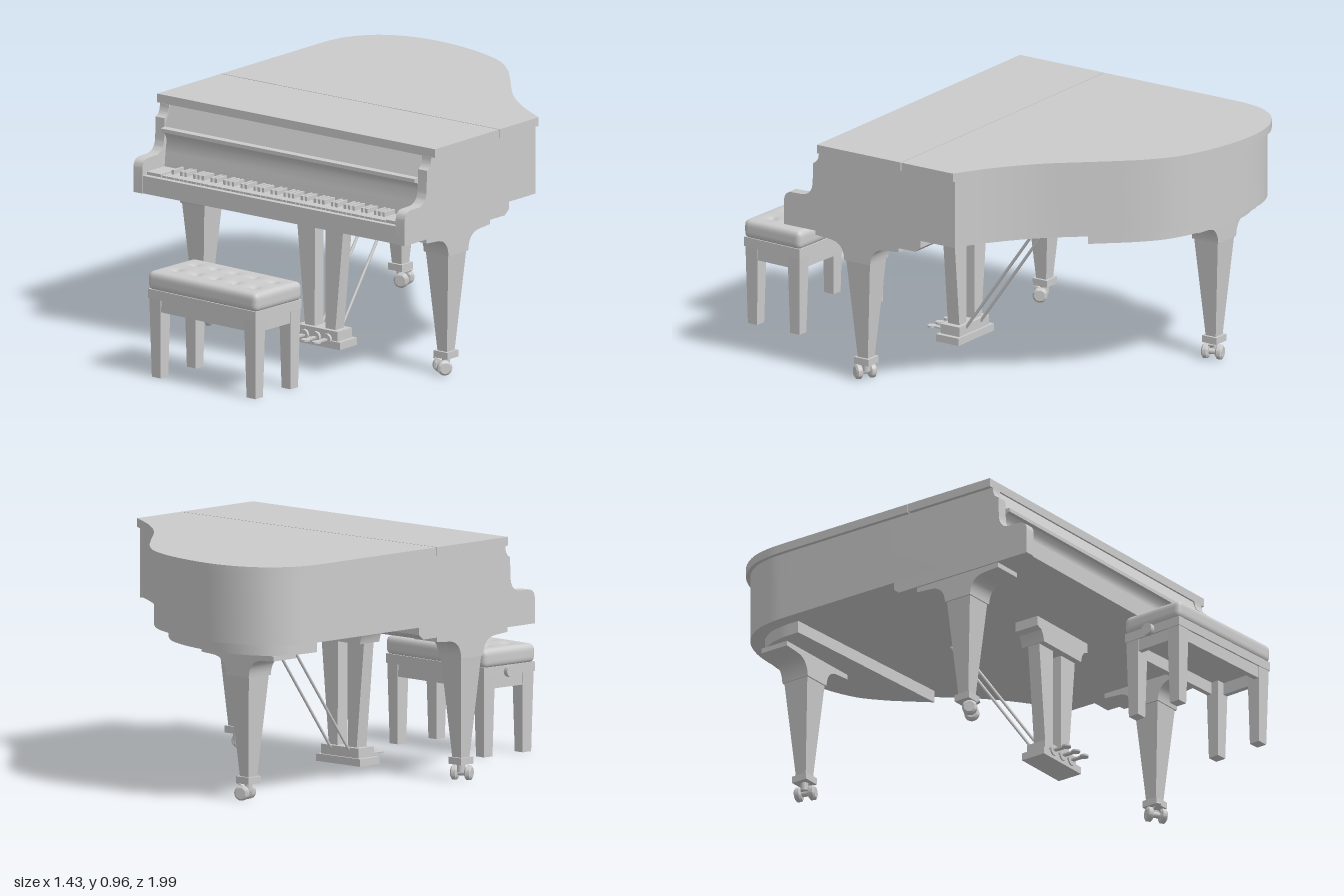
import * as THREE from 'three';
import { mergeGeometries, mergeVertices, toCreasedNormals } from 'three/addons/utils/BufferGeometryUtils.js';

const grey = new THREE.MeshStandardMaterial({ color: 0xcccccc });

function add(parent, name, geometry, x = 0, y = 0, z = 0) {
  const mesh = new THREE.Mesh(geometry, grey);
  mesh.name = name;
  mesh.position.set(x, y, z);
  parent.add(mesh);
  return mesh;
}

function group(parent, name, x = 0, y = 0, z = 0, yaw = 0) {
  const g = new THREE.Group();
  g.name = name;
  g.position.set(x, y, z);
  g.rotation.y = yaw;
  if (parent) parent.add(g);
  return g;
}

const box = (w, h, d) => new THREE.BoxGeometry(w, h, d);
const polygon = (pts) => new THREE.Shape(pts.map(([x, y]) => new THREE.Vector2(x, y)));

// Front-view profile (x, y), thickness centred on z
function frontExtrude(shape, depth) {
  const g = new THREE.ExtrudeGeometry(shape, { depth, bevelEnabled: false, curveSegments: 10 });
  return toCreasedNormals(g.translate(0, 0, -depth / 2), 0.6);
}

// Side-view profile (z, y), thickness centred on x
const sideExtrude = (shape, width) => frontExtrude(shape, width).rotateY(-Math.PI / 2);

// Plan-view outline (x, z) raised from y0 to y1
function planExtrude(pts, y0, y1) {
  const shape = polygon(pts.map(([x, z]) => [x, -z]));
  const g = new THREE.ExtrudeGeometry(shape, { depth: y1 - y0, bevelEnabled: false });
  return toCreasedNormals(g.rotateX(-Math.PI / 2).translate(0, y0, 0), 0.5);
}

// Square post with a different half-width at top and bottom
function taperedPost(top, bottom, h) {
  return new THREE.CylinderGeometry(top * Math.SQRT2, bottom * Math.SQRT2, h, 4)
    .rotateY(Math.PI / 4).toNonIndexed();
}
function flatPost(top, bottom, h) {
  const g = taperedPost(top, bottom, h);
  g.computeVertexNormals();
  return g;
}

// Bent side and tail of the case, from the treble corner round to the spine
const bend = new THREE.CatmullRomCurve3([
  [0.707, -0.297], [0.56, -0.385], [0.411, -0.505], [0.232, -0.706], [0.13, -0.815], [0.019, -0.9],
  [-0.17, -0.968], [-0.383, -0.993], [-0.52, -0.97], [-0.617, -0.915], [-0.68, -0.83], [-0.703, -0.74], [-0.707, -0.65],
].map(([x, z]) => new THREE.Vector3(x, 0, z)), false, 'centripetal');

function bendPoints(inset) {
  const pts = [];
  for (let i = 0; i <= 70; i++) {
    const p = bend.getPoint(i / 70), t = bend.getTangent(i / 70);
    pts.push([p.x + t.z * inset, p.z - t.x * inset]);
  }
  pts[0] = [0.707 - inset, -0.297];
  pts[70][0] = -0.707 + inset;
  return pts;
}

function buildCase(piano) {
  const back = (inset, z) => [[-0.707 + inset, z], [0.707 - inset, z], ...bendPoints(inset)];
  add(piano, 'rim', planExtrude(back(0.017, 0.34), 0.65, 0.93));
  add(piano, 'rearLid', planExtrude(back(0, -0.05), 0.93, 0.965));
  add(piano, 'frontLid', box(1.414, 0.035, 0.404), 0, 0.9475, 0.156);
  add(piano, 'keybed', sideExtrude(polygon([[0.34, 0.6], [0.34, 0.65], [-0.13, 0.65], [-0.13, 0.62], [-0.105, 0.6]]), 1.38));
  add(piano, 'keybedFront', box(1.29, 0.06, 0.16), 0, 0.63, 0.42);
  add(piano, 'keySlip', box(1.29, 0.072, 0.023), 0, 0.636, 0.5115);
  add(piano, 'tailBoard', planExtrude(bendPoints(0.075).filter((p) => p[1] < -0.59), 0.6, 0.65));

  // Fallboard with its lip, and the sloping panel above
  add(piano, 'fallboard', sideExtrude(polygon([
    [0.34, 0.66], [0.39, 0.66], [0.382, 0.74], [0.375, 0.79], [0.382, 0.81], [0.396, 0.826],
    [0.41, 0.828], [0.41, 0.843], [0.385, 0.846], [0.35, 0.93], [0.34, 0.93]]), 1.29));

  // Scrolled arms either side of the keys
  const arm = new THREE.Shape();
  arm.moveTo(0.34, 0.6);
  arm.lineTo(0.528, 0.6);
  arm.lineTo(0.528, 0.7);
  arm.quadraticCurveTo(0.526, 0.737, 0.49, 0.739);
  arm.lineTo(0.44, 0.74);
  arm.quadraticCurveTo(0.392, 0.745, 0.39, 0.8);
  arm.lineTo(0.387, 0.88);
  arm.quadraticCurveTo(0.36, 0.89, 0.36, 0.93);
  arm.lineTo(0.34, 0.93);
  for (const s of [-1, 1]) {
    add(piano, 'arm', sideExtrude(arm, 0.046), s * 0.667, 0, 0);
    add(piano, 'keyCheek', box(0.072, 0.025, 0.11), s * 0.608, 0.672, 0.445);
  }
}

function buildKeys(piano) {
  const pitch = 1.138 / 52, white = [], black = [];
  for (let i = 0; i < 52; i++) {
    const x = -0.569 + (i + 0.5) * pitch;
    white.push(box(pitch - 0.0018, 0.022, 0.108).translate(x, 0.669, 0.444));
    const note = (i + 5) % 7;
    if (note !== 2 && note !== 6 && i < 51) black.push(box(0.011, 0.02, 0.066).translate(x + pitch / 2, 0.688, 0.424));
  }
  add(piano, 'whiteKeys', mergeGeometries(white));
  add(piano, 'blackKeys', mergeGeometries(black));
}

function buildLeg(piano, name, x, z, yaw, casterYaw) {
  const leg = group(piano, name, x, 0, z, yaw);

  // Bracket with concave flanks under a flat plate
  const b = new THREE.Shape();
  b.moveTo(-0.2, 0.6);
  b.lineTo(-0.2, 0.58);
  b.lineTo(-0.13, 0.575);
  b.quadraticCurveTo(-0.066, 0.57, -0.062, 0.5);
  b.lineTo(0.062, 0.5);
  b.quadraticCurveTo(0.066, 0.57, 0.13, 0.575);
  b.lineTo(0.2, 0.58);
  b.lineTo(0.2, 0.6);
  add(leg, 'legBracket', sideExtrude(b, 0.126));
  add(leg, 'legPost', flatPost(0.057, 0.024, 0.41), 0, 0.297, 0);
  add(leg, 'legCollar', box(0.07, 0.028, 0.07), 0, 0.081, 0);

  // Twin-wheel caster
  const caster = group(leg, 'caster', 0, 0, 0, casterYaw);
  add(caster, 'casterStem', new THREE.CylinderGeometry(0.016, 0.016, 0.04, 12), 0, 0.055, 0);
  add(caster, 'casterAxle', new THREE.CylinderGeometry(0.012, 0.012, 0.08, 12).rotateZ(Math.PI / 2), 0, 0.03, 0.015);
  for (const s of [-1, 1]) {
    const wheel = new THREE.LatheGeometry([[0, -0.014], [0.022, -0.014], [0.03, -0.008], [0.03, 0.008], [0.022, 0.014], [0, 0.014]]
      .map(([r, h]) => new THREE.Vector2(r, h)), 20);
    add(caster, 'casterWheel', toCreasedNormals(wheel.rotateZ(Math.PI / 2), 0.5), s * 0.029, 0.03, 0.015);
  }
  add(caster, 'casterLever', box(0.02, 0.006, 0.035), 0, 0.06, 0.035).rotation.x = -0.5;
}

function buildLyre(piano) {
  const lyre = group(piano, 'pedalLyre', -0.022, 0, 0.15);
  add(lyre, 'lyreHead', frontExtrude(polygon([
    [-0.165, 0.6], [-0.165, 0.56], [-0.14, 0.55], [-0.128, 0.53], [-0.122, 0.505],
    [0.122, 0.505], [0.128, 0.53], [0.14, 0.55], [0.165, 0.56], [0.165, 0.6]]), 0.11));
  for (const s of [-1, 1]) {
    const pillar = [[0.027, 0.51], [0.028, 0.08], [0.077, 0.08], [0.118, 0.51]].map(([x, y]) => [s * x, y]);
    add(lyre, 'lyrePillar', frontExtrude(polygon(pillar), 0.055));
    const a = new THREE.Vector3(s * 0.05, 0.07, -0.04), b = new THREE.Vector3(s * 0.05, 0.66, -0.465);
    add(lyre, 'braceRod', new THREE.TubeGeometry(new THREE.LineCurve3(a, b), 1, 0.006, 10));
  }
  add(lyre, 'pedalBox', box(0.206, 0.045, 0.09), 0, 0.062, 0);
  add(lyre, 'pedalBase', box(0.244, 0.03, 0.11), 0, 0.03, 0);
  for (const x of [-0.06, 0, 0.056]) {
    add(lyre, 'pedalRosette', new THREE.CylinderGeometry(0.022, 0.022, 0.012, 24).rotateX(Math.PI / 2), x, 0.05, 0.055);
    add(lyre, 'pedal', box(0.018, 0.007, 0.07), x, 0.05, 0.085);
    add(lyre, 'pedalTip', new THREE.CylinderGeometry(0.018, 0.018, 0.007, 20), x, 0.05, 0.12);
  }
}

// Rounded cushion with ten buttoned dimples
function cushionGeometry() {
  const w = 0.288, h = 0.038, d = 0.141, r = 0.022;
  let g = new THREE.BoxGeometry(w * 2, h * 2, d * 2, 80, 8, 40);
  const p = g.attributes.position, v = new THREE.Vector3(), c = new THREE.Vector3();
  for (let i = 0; i < p.count; i++) {
    v.fromBufferAttribute(p, i);
    c.set(Math.max(-w + r, Math.min(w - r, v.x)), Math.max(-h + r, Math.min(h - r, v.y)), Math.max(-d + r, Math.min(d - r, v.z)));
    v.sub(c).setLength(r).add(c);
    if (v.y > 0) {
      let dip = 0;
      for (let k = -2; k <= 2; k++) for (const s of [-1, 1]) {
        const q = Math.hypot(v.x - k * 0.103, v.z - s * 0.055);
        dip += 0.011 * Math.exp(-((q / 0.014) ** 2)) + 0.005 * Math.exp(-((q / 0.034) ** 2));
      }
      const dome = 0.006 * (1 - (v.x / w) ** 4) * (1 - (v.z / d) ** 2);
      v.y += (dome - dip) * Math.min(1, v.y / (h - r));
    }
    p.setXYZ(i, v.x, v.y, v.z);
  }
  g.deleteAttribute('normal');
  g.deleteAttribute('uv');
  g = mergeVertices(g, 1e-5);
  g.computeVertexNormals();
  return g;
}

function buildBench(parent) {
  const bench = group(parent, 'bench', 0.005, 0, 0.838, -0.062);
  add(bench, 'cushion', cushionGeometry(), 0, 0.394, 0);
  for (let k = -2; k <= 2; k++) for (const s of [-1, 1])
    add(bench, 'cushionButton', new THREE.SphereGeometry(0.006, 10, 8), k * 0.103, 0.42, s * 0.055);
  add(bench, 'seatFrame', box(0.568, 0.038, 0.276), 0, 0.341, 0);
  for (const s of [-1, 1]) {
    add(bench, 'longApron', box(0.54, 0.05, 0.022), 0, 0.297, s * 0.12);
    add(bench, 'shortApron', box(0.022, 0.05, 0.25), s * 0.266, 0.297, 0);
    for (const t of [-1, 1]) add(bench, 'benchLeg', flatPost(0.03, 0.023, 0.322), s * 0.25, 0.161, t * 0.105);
  }
  add(bench, 'heightKnob', new THREE.CylinderGeometry(0.025, 0.025, 0.02, 16).rotateZ(Math.PI / 2), -0.298, 0.338, -0.01);
}

export function createModel() {
  const model = group(null, 'pianoAndBench');
  const piano = group(model, 'piano', -0.005, 0, 0, -0.018);
  buildCase(piano);
  buildKeys(piano);
  buildLeg(piano, 'frontRightLeg', -0.62, 0.18, 0, 0.5);
  buildLeg(piano, 'frontLeftLeg', 0.62, 0.18, 0, -0.6);
  buildLeg(piano, 'rearLeg', -0.395, -0.793, Math.PI / 2, 0.3);
  buildLyre(piano);
  buildBench(model);
  return model;
}
